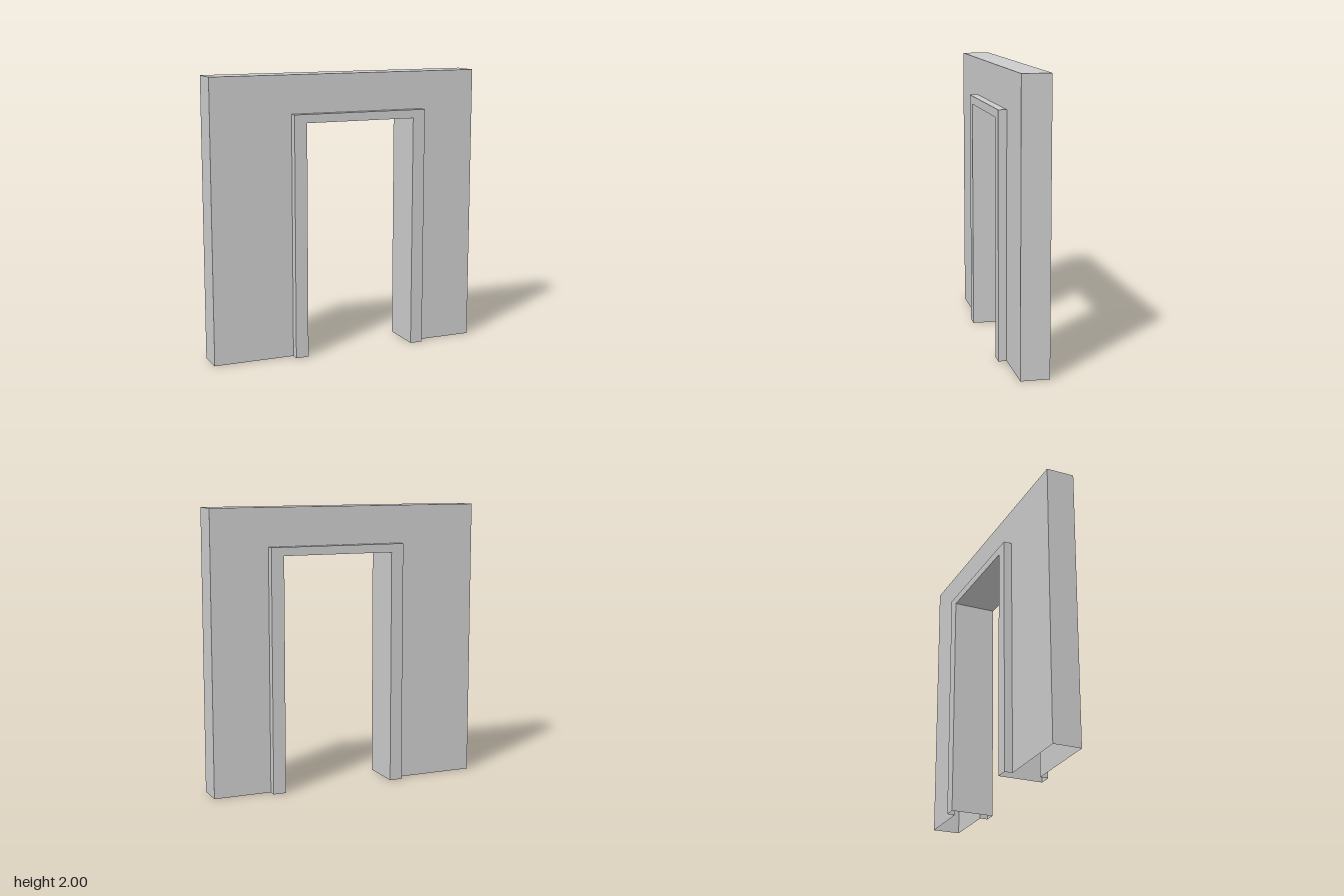
import * as THREE from 'three';

const material = new THREE.MeshStandardMaterial({ color: 0xcccccc, side: THREE.DoubleSide });

const WALL_Z = 0.1;    // half thickness of the wall
const FRAME_Z = 0.158; // half thickness of the door frame

// Arch outlines: left edge, right edge, top
const wallEdge = [-1, 1, 2];
const frameEdge = [-0.415, 0.585, 1.73];
const opening = [-0.323, 0.493, 1.67];

// Three-sided outline running up, across and down, open at the floor
function outline([left, right, top], z) {
  return [[left, 0, z], [left, top, z], [right, top, z], [right, 0, z]];
}

// Skin of flat panels joining each outline to the next one
function shell(name, sections) {
  const positions = [];
  for (let s = 0; s < sections.length - 1; s++) {
    const a = sections[s];
    const b = sections[s + 1];
    for (let i = 0; i < 3; i++) {
      for (const p of [a[i], b[i], b[i + 1], a[i], b[i + 1], a[i + 1]]) positions.push(...p);
    }
  }
  const geometry = new THREE.BufferGeometry();
  geometry.setAttribute('position', new THREE.Float32BufferAttribute(positions, 3));
  geometry.computeVertexNormals();
  const mesh = new THREE.Mesh(geometry, material);
  mesh.name = name;
  return mesh;
}

export function createModel() {
  const group = new THREE.Group();
  group.name = 'doorway';

  // Hollow wall, open underneath: back face, outer ends and top, front face
  group.add(shell('wall', [
    outline(frameEdge, -WALL_Z),
    outline(wallEdge, -WALL_Z),
    outline(wallEdge, WALL_Z),
    outline(frameEdge, WALL_Z),
  ]));

  // Door frame: front trim, lining of the opening, back trim
  group.add(shell('doorFrame', [
    outline(frameEdge, WALL_Z),
    outline(frameEdge, FRAME_Z),
    outline(opening, FRAME_Z),
    outline(opening, -FRAME_Z),
    outline(frameEdge, -FRAME_Z),
    outline(frameEdge, -WALL_Z),
  ]));

  return group;
}
